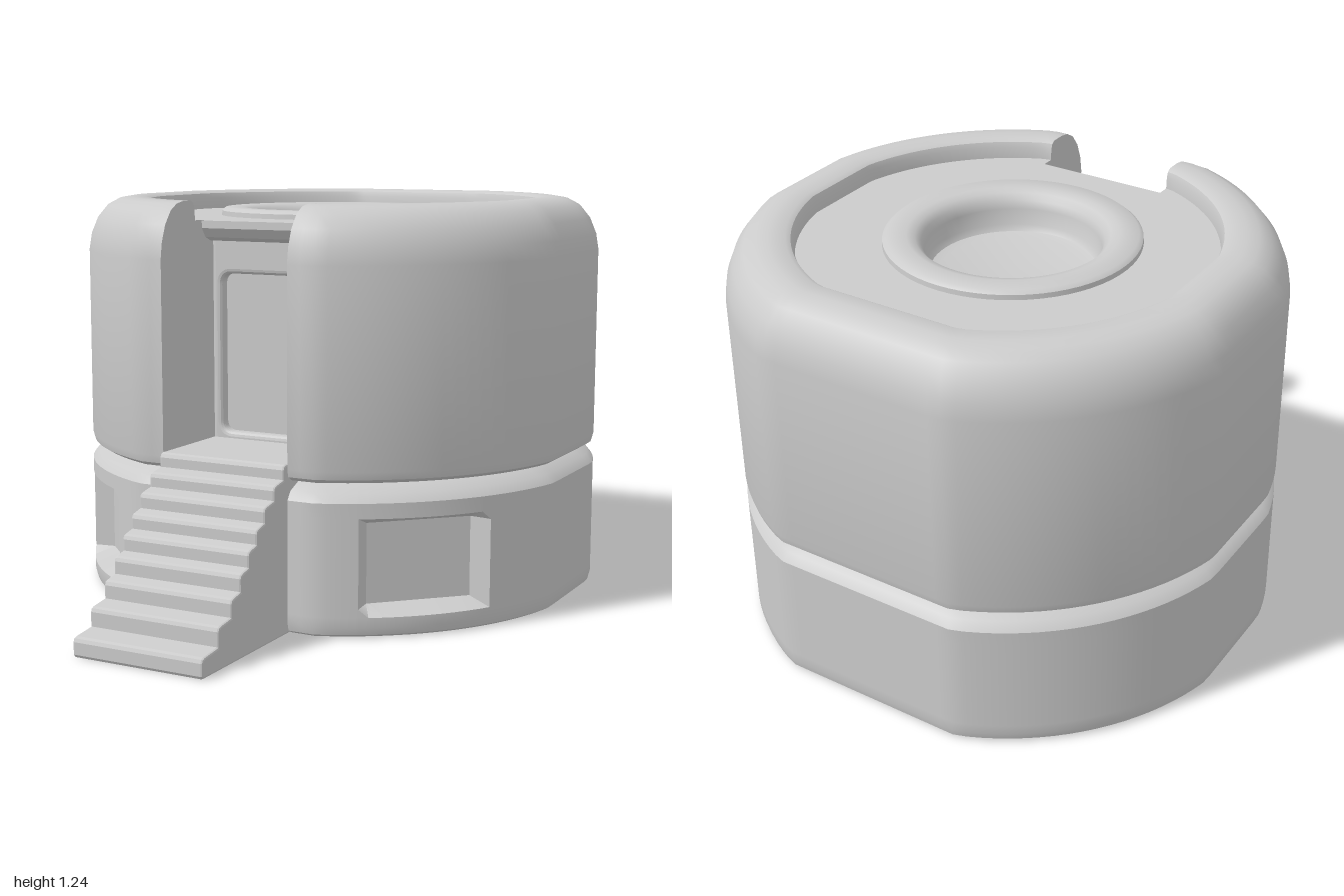
import * as THREE from 'three';
import { toCreasedNormals } from 'three/addons/utils/BufferGeometryUtils.js';

const MID = -0.235;   // z of the building's centre
const GAP = 0.21;     // half width of stairs and doorway
const RECESS = 1.175; // height of the sunken roof

const grey = new THREE.MeshStandardMaterial({ color: 0xcccccc });
const thin = new THREE.MeshStandardMaterial({ color: 0xcccccc, side: THREE.DoubleSide });

// Point on the plan: a circle with four flattened sides, inset by d
function plan(theta, d, radius = 0.82) {
  const s = 1 - d / 0.8;
  const x = THREE.MathUtils.clamp(Math.sin(theta) * radius, -0.8, 0.8) * s;
  const z = THREE.MathUtils.clamp(Math.cos(theta) * radius, -0.765, 0.765) * s;
  return [x, z + MID];
}

// Angle where a loop meets the side of the doorway
const startAngle = d => Math.asin(GAP / (0.82 * (1 - d / 0.8)));

// Outline angles from one side of the doorway round to the other
function angles(d, extra = []) {
  const a = startAngle(d), list = [...extra];
  for (let i = 0; i <= 112; i++) list.push(a + (i / 112) * 2 * (Math.PI - a));
  return list.sort((p, q) => p - q);
}

// Wall skin lofted through [inset, height] loops
function wall(profile, extra = [], place = (t, d) => plan(t, d)) {
  const pos = [], index = [];
  let n = 0;
  for (const [d, y] of profile) {
    const loop = angles(d, extra);
    n = loop.length;
    for (const t of loop) {
      const [x, z] = place(t, d, y);
      pos.push(x, y, z);
    }
  }
  for (let r = 0; r < profile.length - 1; r++) {
    for (let c = 0; c < n - 1; c++) {
      const a = r * n + c, b = a + 1, e = a + n;
      index.push(a, b, e, b, e + 1, e);
    }
  }
  const g = new THREE.BufferGeometry();
  g.setAttribute('position', new THREE.Float32BufferAttribute(pos, 3));
  g.setIndex(index);
  return toCreasedNormals(g, 0.6);
}

const shapeOf = pts => new THREE.Shape(pts.map(p => new THREE.Vector2(p[0], p[1])));

// Rounded rectangle path
function roundedRect(path, x0, y0, x1, y1, r) {
  path.moveTo(x0 + r, y0);
  path.lineTo(x1 - r, y0).quadraticCurveTo(x1, y0, x1, y0 + r);
  path.lineTo(x1, y1 - r).quadraticCurveTo(x1, y1, x1 - r, y1);
  path.lineTo(x0 + r, y1).quadraticCurveTo(x0, y1, x0, y1 - r);
  path.lineTo(x0, y0 + r).quadraticCurveTo(x0, y0, x0 + r, y0);
  return path;
}

export function createModel() {
  const model = new THREE.Group();
  const add = (name, geometry, material = grey) => {
    const mesh = new THREE.Mesh(geometry, material);
    mesh.name = name;
    model.add(mesh);
    return mesh;
  };

  // Base wall with two sunken windows facing the front corners
  const windowMid = 0.7735;
  const edges = [0.524, 0.56, 0.987, 1.023];
  const baseProfile = [[0.02, 0], [0.006, 0.008], [0, 0.03], [0, 0.06], [0, 0.085],
    [0, 0.325], [0, 0.35], [0, 0.395], [0.02, 0.42], [0.07, 0.44]];
  const windowed = (t, d, y) => {
    const off = Math.abs(Math.min(t, 2 * Math.PI - t) - windowMid);
    const sunk = off < 0.214 && y > 0.08 && y < 0.33;
    return plan(t, d, sunk ? 0.74 / Math.cos(off) : 0.82);
  };
  add('baseWall', wall(baseProfile, [...edges, ...edges.map(e => 2 * Math.PI - e)], windowed));

  // Underside
  const under = new THREE.ShapeGeometry(shapeOf(angles(0.02).map(t => plan(t, 0.02))));
  add('underside', under.rotateX(Math.PI / 2));

  // Upper wall, rounded over into a rim and down to the sunken roof
  const upperProfile = [[0.07, 0.44], [0.025, 0.45], [0.006, 0.462], [0, 0.485], [0, 1.07], [0.008, 1.12],
    [0.028, 1.17], [0.06, 1.21], [0.095, 1.229], [0.13, 1.235], [0.178, 1.235], [0.192, 1.227],
    [0.198, 1.21], [0.2, RECESS]];
  add('upperWall', wall(upperProfile));

  // Sunken roof, running out to the edge above the door
  const roof = shapeOf([...angles(0.2).map(t => plan(t, 0.2)), [-GAP, 0.3], [GAP, 0.3]]
    .map(([x, z]) => [x, -z]));
  roof.holes.push(new THREE.Path().absarc(0, 0.21, 0.37, 0, Math.PI * 2, true));
  add('roof', new THREE.ShapeGeometry(roof, 64).rotateX(-Math.PI / 2).translate(0, RECESS, 0));

  // Raised ring with a round well inside it
  const ring = [[0.382, 1.165], [0.38, 1.19], [0.368, 1.2], [0.31, 1.2], [0.285, 1.193], [0.268, 1.175],
    [0.26, 1.15], [0.257, 1.1], [0.245, 1.082], [0.22, 1.075], [0, 1.075]];
  add('roofRing', toCreasedNormals(
    new THREE.LatheGeometry(ring.map(p => new THREE.Vector2(...p)), 64), 0.7)).position.z = -0.21;

  // Doorway side walls, cut to the section of the upper wall
  const section = upperProfile.map(([d, y]) => [MID + 0.765 * (1 - d / 0.8), y]);
  const cheek = shapeOf([...section, [0.2, RECESS], [0.2, 0.44]]);
  for (const side of [-1, 1]) {
    const g = new THREE.ShapeGeometry(cheek).rotateY(-Math.PI / 2);
    add(side > 0 ? 'doorwayWallLeft' : 'doorwayWallRight', g, thin).position.x = side * GAP;
  }

  // Door frame, sunken door and lintel
  const frame = shapeOf([[-GAP, 0.46], [GAP, 0.46], [GAP, 1.14], [-GAP, 1.14]]);
  frame.holes.push(roundedRect(new THREE.Path(), -0.175, 0.52, 0.175, 1.01, 0.035));
  add('doorFrame', new THREE.ExtrudeGeometry(frame, {
    depth: 0.02, bevelThickness: 0.015, bevelSize: 0.015, bevelOffset: -0.015, bevelSegments: 3,
  }).translate(0, 0, 0.21));
  add('door', new THREE.PlaneGeometry(0.4, 0.6).translate(0, 0.77, 0.212));
  const lintel = shapeOf([[0.2, 1.11], [0.25, 1.11], [0.28, 1.122], [0.3, 1.15], [0.3, RECESS - 0.002],
    [0.2, RECESS - 0.002]]);
  add('lintel', new THREE.ExtrudeGeometry(lintel, { depth: 2 * GAP, bevelEnabled: false })
    .rotateY(-Math.PI / 2).translate(GAP, 0, 0));

  // Stairs, with the top step running into the doorway
  const fronts = [1, 0.915, 0.845, 0.795, 0.75, 0.705, 0.66, 0.605, 0.55];
  const heights = [0.058, 0.122, 0.182, 0.24, 0.295, 0.347, 0.4, 0.45, 0.5];
  const steps = [[0.2, 0], [0.995, 0]];
  fronts.forEach((z, i) => {
    const y = heights[i];
    steps.push([z, (i ? heights[i - 1] : 0) + 0.008], [z, y - 0.014], [z - 0.004, y - 0.004], [z - 0.014, y]);
  });
  steps.push([0.2, 0.5]);
  add('stairs', new THREE.ExtrudeGeometry(shapeOf(steps), {
    depth: 2 * GAP - 0.012, bevelThickness: 0.006, bevelSize: 0.006, bevelOffset: -0.006, bevelSegments: 2,
  }).rotateY(-Math.PI / 2).translate(GAP - 0.006, 0, 0));

  return model;
}
